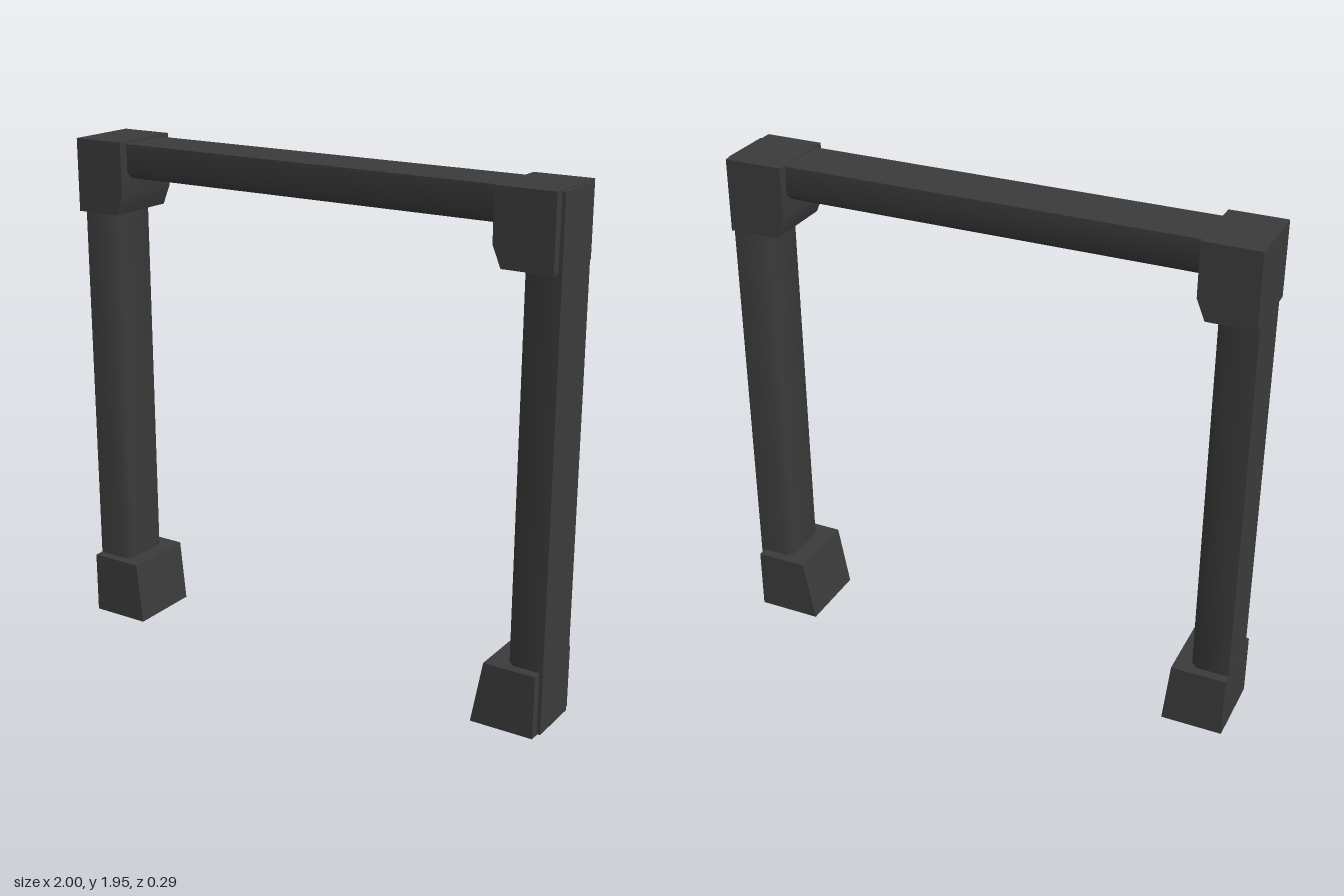
import * as THREE from 'three';
import { toCreasedNormals } from 'three/addons/utils/BufferGeometryUtils.js';

const charcoal = new THREE.MeshStandardMaterial({ color: 0x3b3b3b });
charcoal.name = 'charcoal';

// Extrude an outline along z, centred, smoothing only shallow edges.
function prism(name, points, depth) {
  const shape = new THREE.Shape(points.map(([x, y]) => new THREE.Vector2(x, y)));
  const geo = new THREE.ExtrudeGeometry(shape, { depth, bevelEnabled: false });
  geo.translate(0, 0, -depth / 2);
  const mesh = new THREE.Mesh(toCreasedNormals(geo, 0.9), charcoal);
  mesh.name = name;
  return mesh;
}

// Bar section: flat outer face at y = t, chamfered inner face at y = 0.
function bar(name, t, length) {
  const w = 0.108, c = 0.025;
  return prism(name, [
    [-w, t], [-w, c], [-w + c, 0], [w - c, 0], [w, c], [w, t],
  ], length);
}

export function createModel() {
  const group = new THREE.Group();

  for (const side of [-1, 1]) {
    const label = side < 0 ? 'right' : 'left';
    const outer = side < 0 ? 1 : 0.987;
    const inner = side < 0 ? 0.79 : 0.765;
    const top = side < 0 ? 1.95 : 1.945;
    const place = (pts) => pts.map(([x, y]) => [side * x, y]);

    // Corner block with a clipped inner lower corner
    group.add(prism(label + 'CornerBlock', place([
      [outer, top], [inner, top], [inner, 1.75], [inner + 0.032, 1.672], [outer, 1.672],
    ]), 0.29));

    // Foot, flaring inward towards the floor
    group.add(prism(label + 'Foot', place([
      [outer, 0], [outer, 0.243], [inner + 0.02 * (side > 0), 0.243], [inner - 0.025, 0],
    ]), 0.29));

    // Upright post; the left one stands proud of its blocks
    const thick = side < 0 ? 0.148 : 0.142;
    const bottom = side < 0 ? 0.05 : 0.003;
    const height = (side < 0 ? 1.9 : 1.94) - bottom;
    const post = bar(label + 'Post', thick, height);
    post.rotation.set(Math.PI / 2, 0, 0);
    const holder = new THREE.Group();
    holder.name = label + 'PostHolder';
    holder.add(post);
    holder.rotation.y = side * Math.PI / 2;
    holder.position.set(side * (side < 0 ? 0.851 : 0.858), bottom + height / 2, 0);
    group.add(holder);
  }

  // Top beam between the corner blocks
  const beam = bar('topBeam', 0.13, 1.75);
  beam.rotation.y = Math.PI / 2;
  beam.position.y = 1.81;
  group.add(beam);

  return group;
}
